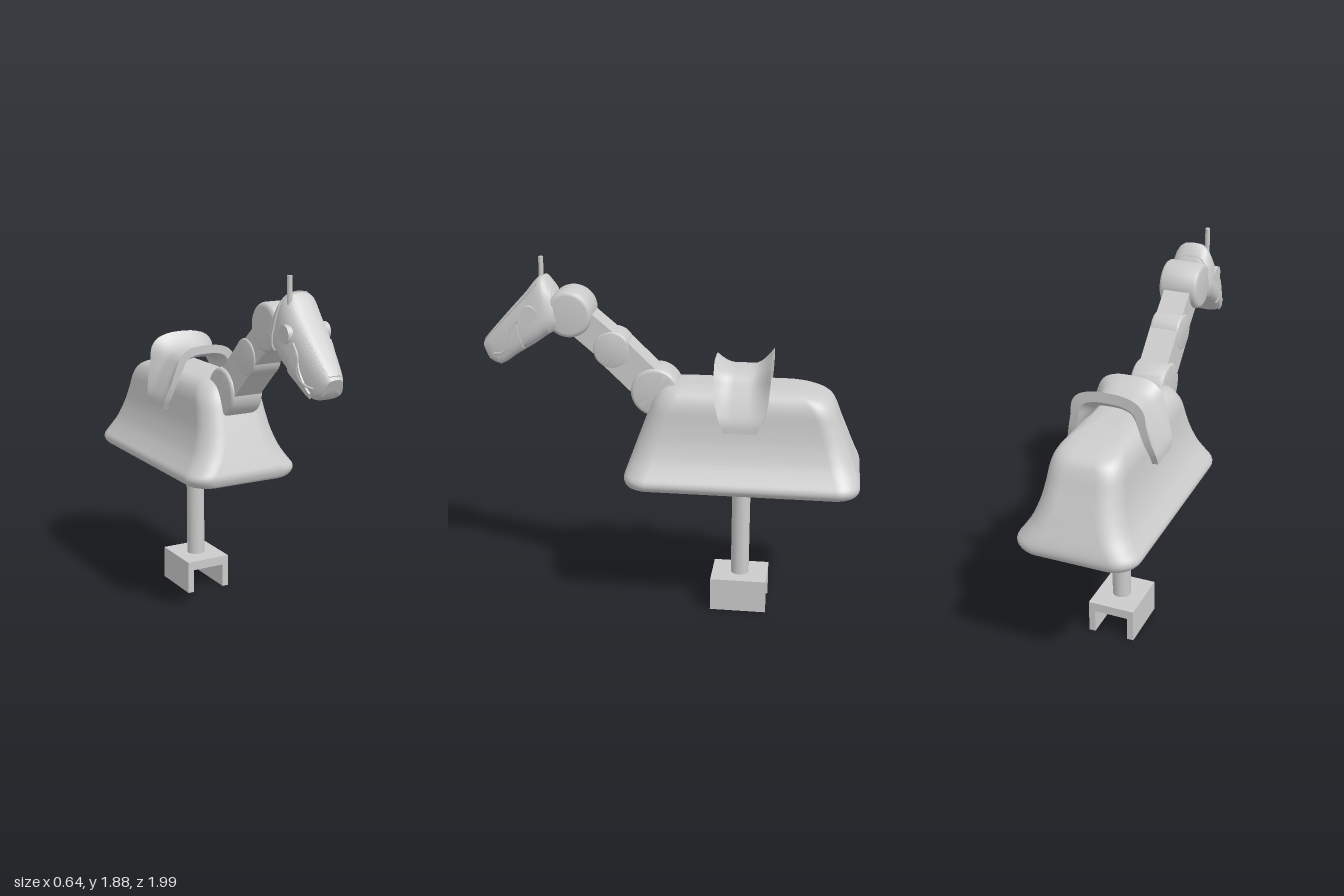
import * as THREE from 'three';
import { toCreasedNormals } from 'three/addons/utils/BufferGeometryUtils.js';

const grey = new THREE.MeshStandardMaterial({ color: 0xcccccc });
const greyDouble = new THREE.MeshStandardMaterial({ color: 0xcccccc, side: THREE.DoubleSide });
const V = (x, y, z) => new THREE.Vector3(x, y, z);

// Smooth interpolation through table rows, t in 0..1
function sample(rows, t) {
  const n = rows.length - 1, f = THREE.MathUtils.clamp(t, 0, 1) * n;
  const i = Math.min(Math.floor(f), n - 1), u = f - i;
  const p = k => rows[THREE.MathUtils.clamp(k, 0, n)];
  return rows[0].map((_, c) => {
    const a = p(i - 1)[c], b = p(i)[c], d = p(i + 1)[c], e = p(i + 2)[c];
    return b + 0.5 * u * (d - a + u * (2 * a - 5 * b + 4 * d - e + u * (3 * (b - d) + e - a)));
  });
}

// Skin a list of rings; closed rings get end caps and outward faces
function loft(rings, closed = true) {
  const m = rings[0].length, n = rings.length, idx = [], pts = rings.flat();
  for (let i = 0; i < n - 1; i++)
    for (let j = 0; j < (closed ? m : m - 1); j++) {
      const a = i * m + j, b = i * m + (j + 1) % m;
      idx.push(a, b, a + m, b, b + m, a + m);
    }
  if (closed) {
    for (const e of [0, n - 1]) {
      const c = pts.length;
      pts.push(rings[e].reduce((s, p) => s.add(p), V(0, 0, 0)).divideScalar(m));
      for (let j = 0; j < m; j++) {
        const a = e * m + j, b = e * m + (j + 1) % m;
        idx.push(...(e ? [a, b, c] : [b, a, c]));
      }
    }
    let vol = 0;
    for (let i = 0; i < idx.length; i += 3)
      vol += pts[idx[i]].dot(pts[idx[i + 1]].clone().cross(pts[idx[i + 2]]));
    if (vol < 0) idx.reverse();
  }
  const g = new THREE.BufferGeometry().setFromPoints(pts);
  g.setIndex(idx);
  g.computeVertexNormals();
  return g;
}

function add(group, name, geometry, material = grey) {
  const mesh = new THREE.Mesh(geometry, material);
  mesh.name = name;
  group.add(mesh);
  return mesh;
}

// Flared body: y, half width, front z, back z, corner radius
const BODY = [
  [0.735, 0.25, 0.16, -0.94, 0.1], [0.74, 0.29, 0.2, -0.98, 0.11], [0.765, 0.317, 0.216, -0.997, 0.12],
  [0.795, 0.318, 0.22, -1.0, 0.12], [0.835, 0.29, 0.208, -0.99, 0.12], [0.9, 0.25, 0.185, -0.965, 0.12],
  [0.99, 0.217, 0.153, -0.93, 0.115], [1.08, 0.2, 0.12, -0.893, 0.11], [1.16, 0.19, 0.09, -0.862, 0.11],
  [1.21, 0.172, 0.065, -0.83, 0.11], [1.24, 0.148, 0.04, -0.77, 0.1], [1.258, 0.115, 0.005, -0.68, 0.08],
  [1.267, 0.06, -0.05, -0.55, 0.05]];

function bodyRing([y, hx, zf, zb, r]) {
  const ring = [], corners = [[1, 1], [-1, 1], [-1, -1], [1, -1]];
  corners.forEach(([sx, sz], q) => {
    for (let k = 0; k <= 8; k++) {
      const a = (q + k / 8) * Math.PI / 2;
      const cz = sz > 0 ? zf - r : zb + r;
      ring.push(V(sx * (hx - r) + r * Math.cos(a), y, cz + r * Math.sin(a)));
    }
  });
  return ring;
}

// Saddle half arch: x, y, front z, back z, front lip, back lip
const SADDLE = [
  [0, 1.355, -0.235, -0.53, 0.045, 0.08], [0.07, 1.35, -0.235, -0.53, 0.045, 0.08],
  [0.12, 1.325, -0.238, -0.53, 0.045, 0.08], [0.16, 1.265, -0.243, -0.525, 0.03, 0.045],
  [0.2, 1.19, -0.253, -0.515, 0.013, 0.02], [0.232, 1.115, -0.275, -0.49, 0.005, 0.005],
  [0.238, 1.06, -0.3, -0.465, 0, 0]];

function saddleRing(s) {
  const sgn = Math.sign(s) || 1, [x, y, zf, zb, lf, lb] = sample(SADDLE, Math.abs(s));
  const q = sample(SADDLE, Math.abs(s) + 0.02), p = sample(SADDLE, Math.abs(s) - 0.02);
  const nrm = V(p[1] - q[1], q[0] - p[0], 0).normalize();
  const ring = [], N = 14;
  const at = (u, d) => V(sgn * (x + nrm.x * d), y + nrm.y * d, zf + (zb - zf) * u);
  const lip = u => lf * Math.max(0, 1 - u / 0.3) ** 1.6 + lb * Math.max(0, (u - 0.68) / 0.32) ** 1.7;
  for (let k = 0; k <= N; k++) ring.push(at(k / N, lip(k / N)));
  for (let k = N; k >= 0; k--) ring.push(at(k / N, lip(k / N) * 0.7 - 0.032));
  return ring;
}

// Head sections from back to muzzle: top z, top y, bottom z, bottom y, half width
const HEAD = [
  [0.6, 1.73, 0.57, 1.53, 0.1], [0.67, 1.795, 0.63, 1.497, 0.112], [0.76, 1.7, 0.7, 1.448, 0.113],
  [0.87, 1.58, 0.8, 1.385, 0.098], [0.96, 1.478, 0.885, 1.328, 0.076], [0.992, 1.435, 0.945, 1.342, 0.052]];
const pw = (v, e) => Math.sign(v) * Math.abs(v) ** e;

function headPoint(t, a, off = 0) {
  const [tz, ty, bz, by, w] = sample(HEAD, t);
  const h = Math.hypot(tz - bz, ty - by) / 2, v = pw(Math.sin(a), 0.65), k = 0.5 * v * (h + off) / h;
  return V((w + off) * pw(Math.cos(a), 0.65) * (1 - 0.2 * v),
    (ty + by) / 2 + k * (ty - by), (tz + bz) / 2 + k * (tz - bz));
}

// Raised plate lying on the head; its rim dips below the skin
function headPlate(t0, t1, lo, hi, off) {
  const rows = [], N = 14;
  for (let i = -1; i <= N + 1; i++) {
    const u = THREE.MathUtils.clamp(i / N, 0, 1), row = [];
    for (let j = -1; j <= N + 1; j++) {
      const rim = i < 0 || i > N || j < 0 || j > N;
      const a = THREE.MathUtils.lerp(lo(u), hi(u), THREE.MathUtils.clamp(j / N, 0, 1));
      row.push(headPoint(t0 + (t1 - t0) * u, a, rim ? -0.008 : off));
    }
    rows.push(row);
  }
  return toCreasedNormals(loft(rows, false), 0.7);
}

// Rounded drum lying across the neck
function drum(r, hw, b) {
  const p = [new THREE.Vector2(0, -hw)];
  for (let k = 0; k <= 5; k++) {
    const a = k / 5 * Math.PI / 2;
    p.push(new THREE.Vector2(r - b + b * Math.sin(a), -hw + b - b * Math.cos(a)));
  }
  const all = p.concat(p.slice().reverse().map(q => new THREE.Vector2(q.x, -q.y)));
  return toCreasedNormals(new THREE.LatheGeometry(all, 48).rotateZ(Math.PI / 2), 0.6);
}

export function createModel() {
  const model = new THREE.Group();
  model.name = 'springRider';

  // Bracket foot and post
  const foot = new THREE.Shape([[-0.127, 0], [-0.092, 0], [-0.092, 0.13], [0.092, 0.13], [0.092, 0],
    [0.127, 0], [0.127, 0.18], [-0.127, 0.18]].map(p => new THREE.Vector2(...p)));
  add(model, 'footBracket', new THREE.ExtrudeGeometry(foot, { depth: 0.3, bevelEnabled: false }))
    .position.z = -0.53;
  add(model, 'post', new THREE.CylinderGeometry(0.049, 0.049, 0.6, 40)).position.set(0, 0.47, -0.38);

  // Body
  const levels = [];
  for (let i = 0; i <= 48; i++) levels.push(bodyRing(sample(BODY, i / 48)));
  add(model, 'body', loft(levels));

  // Saddle
  const arch = [];
  for (let i = -30; i <= 30; i++) arch.push(saddleRing(i / 30));
  add(model, 'saddle', toCreasedNormals(loft(arch), 0.7));

  // Neck: three drums joined by two links
  const neck = new THREE.Group();
  neck.name = 'neck';
  model.add(neck);
  const joints = [[1.213, 0.073, 0.128, 0.093, 0.02], [1.43, 0.3, 0.097, 0.08, 0.012], [1.615, 0.52, 0.122, 0.106, 0.025]];
  for (const [y, z, r, hw, b] of joints) add(neck, 'neckJoint', drum(r, hw, b)).position.set(0, y, z);
  [[0.18, 0.155], [0.155, 0.145]].forEach(([thick, wide], i) => {
    const [y0, z0] = joints[i], [y1, z1] = joints[i + 1], b = 0.012;
    const len = Math.hypot(y1 - y0, z1 - z0);
    const link = new THREE.Shape([[-1, -1], [1, -1], [1, 1], [-1, 1]]
      .map(([x, y]) => new THREE.Vector2(x * (wide / 2 - b), y * (thick / 2 - b))));
    const g = new THREE.ExtrudeGeometry(link, { depth: len, bevelSize: b, bevelThickness: 0.001, bevelSegments: 2 });
    const mesh = add(neck, 'neckLink', g);
    mesh.position.set(0, y0, z0);
    mesh.rotation.x = -Math.atan2(y1 - y0, z1 - z0);
  });

  // Head
  const head = new THREE.Group();
  head.name = 'head';
  model.add(head);
  const sections = [];
  for (let i = 0; i <= 40; i++)
    sections.push(Array.from({ length: 64 }, (_, j) => headPoint(i / 40, j / 32 * Math.PI)));
  add(head, 'skull', toCreasedNormals(loft(sections), 0.8));
  add(head, 'collar', headPlate(0.03, 0.17, () => -0.9, () => Math.PI + 0.9, 0.009), greyDouble);
  add(head, 'noseBridge', headPlate(0.24, 0.9, u => 0.85 + 0.25 * u, u => Math.PI - 0.85 - 0.25 * u, 0.004), greyDouble);

  // Mirrored eyes, cheeks and mouth lines
  for (const s of [1, -1]) {
    const side = a => s > 0 ? a : Math.PI - a;
    const eye = add(head, 'eye', new THREE.CylinderGeometry(0.045, 0.047, 0.036, 32));
    eye.rotation.z = -s * Math.PI / 2;
    eye.position.set(s * 0.1, 1.612, 0.722);
    add(head, 'cheek', headPlate(0.5, 0.8, () => side(-0.85), u => side(0.15 - 0.5 * u), 0.008), greyDouble);
    const line = [[0.48, 0.2], [0.55, 0.1], [0.62, -0.2], [0.72, -0.2], [0.82, -0.05]]
      .map(([t, a]) => headPoint(t, side(a), 0.004));
    add(head, 'mouthLine', new THREE.TubeGeometry(new THREE.CatmullRomCurve3(line), 24, 0.006, 8));
  }

  // Single rod on the right of the crown
  add(head, 'crownRod', new THREE.CylinderGeometry(0.013, 0.013, 0.18, 16)).position.set(-0.065, 1.79, 0.69);
  return model;
}
